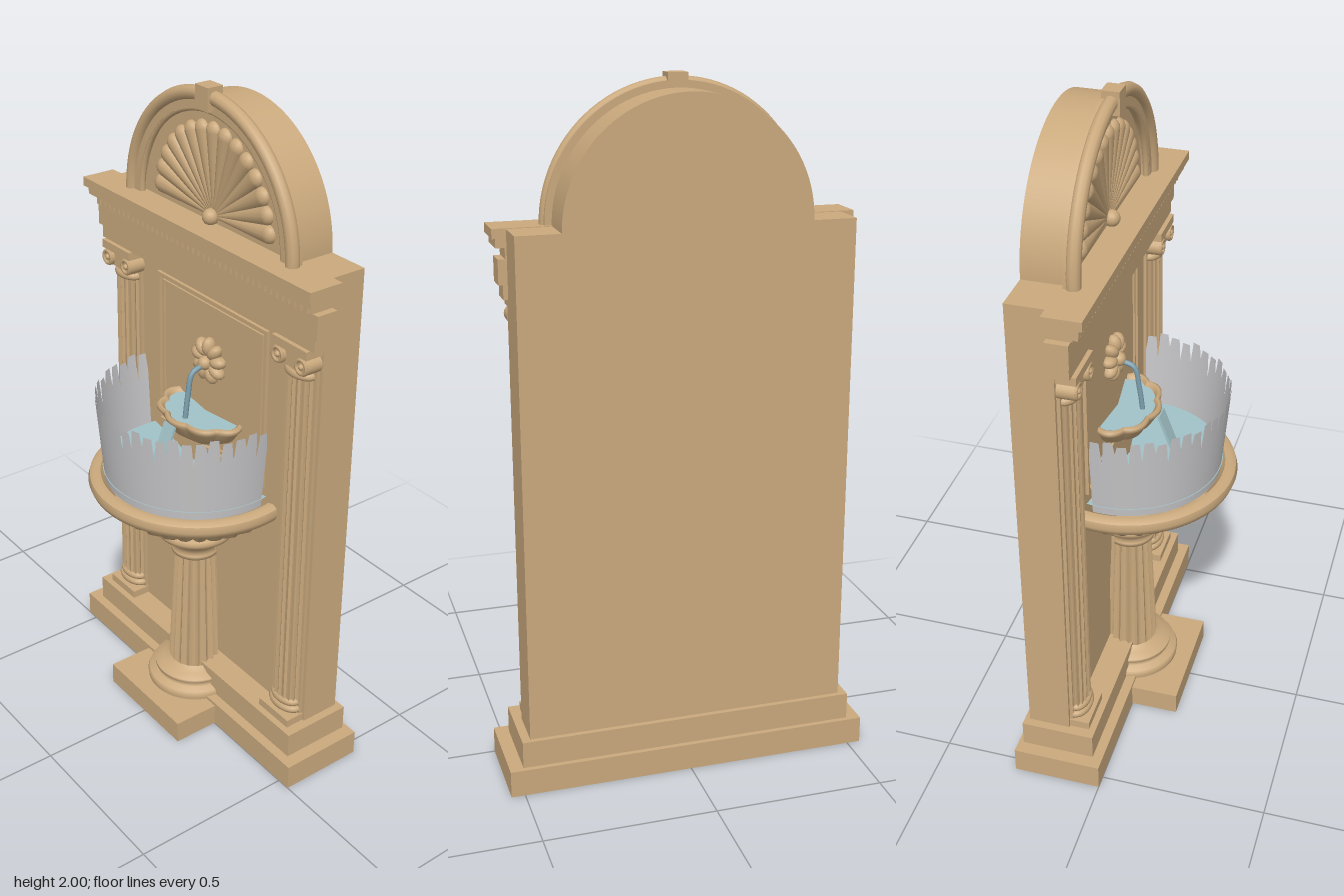
import * as THREE from 'three';
import { toCreasedNormals } from 'three/addons/utils/BufferGeometryUtils.js';

const mat = (name, color, side = THREE.FrontSide) => {
  const m = new THREE.MeshStandardMaterial({ color, side });
  m.name = name;
  return m;
};

export function createModel() {
  const model = new THREE.Group();
  model.name = 'wallFountain';
  const stone = mat('sandstone', 0xcaa97d);
  const stoneOpen = mat('sandstone', 0xcaa97d, THREE.DoubleSide);
  stoneOpen.name = 'sandstoneOpen';
  const grey = mat('paleGrey', 0xc6c6c8, THREE.DoubleSide);
  const water = mat('water', 0xa2c3c8, THREE.DoubleSide);
  const jet = mat('waterJet', 0x7d9fae);
  const CZ = -0.055; // axis of the basin and its pedestal

  const add = (name, geo, m = stone, x = 0, y = 0, z = 0, parent = model) => {
    const mesh = new THREE.Mesh(geo, m);
    mesh.name = name;
    mesh.position.set(x, y, z);
    parent.add(mesh);
    return mesh;
  };
  // box given by its limits
  const block = (name, x0, x1, y0, y1, z0, z1, parent = model) =>
    add(name, new THREE.BoxGeometry(x1 - x0, y1 - y0, z1 - z0), stone,
      (x0 + x1) / 2, (y0 + y1) / 2, (z0 + z1) / 2, parent);
  const pts = (list) => list.map(([x, y]) => new THREE.Vector2(x, y));
  const lathe = (list, seg, half = Math.PI) =>
    new THREE.LatheGeometry(pts(list), seg, -half, half * 2);
  // scale each vertex's radius by rule(angle, y)
  const radial = (geo, rule) => {
    const p = geo.attributes.position;
    for (let i = 0; i < p.count; i++) {
      const k = rule(Math.atan2(p.getX(i), p.getZ(i)), p.getY(i));
      p.setX(i, p.getX(i) * k);
      p.setZ(i, p.getZ(i) * k);
    }
    geo.computeVertexNormals();
    return geo;
  };
  const fluted = (rTop, rBottom, h, n, depth) => toCreasedNormals(radial(
    new THREE.CylinderGeometry(rTop, rBottom, h, n * 6, 1, true),
    (a) => 1 - depth * Math.abs(Math.sin(a * n / 2))), 0.6);
  const halfRing = (outer, inner, depth) => {
    const s = new THREE.Shape();
    s.absarc(0, 0, outer, 0, Math.PI, false);
    if (inner) s.absarc(0, 0, inner, Math.PI, 0, true);
    s.closePath();
    return toCreasedNormals(new THREE.ExtrudeGeometry(s,
      { depth, bevelEnabled: false, curveSegments: 48 }), 0.6);
  };

  // stepped base and wall
  block('baseSlab', -0.54, 0.54, 0, 0.08, -0.265, 0);
  block('baseStep', -0.5, 0.5, 0.08, 0.16, -0.25, -0.03);
  block('wall', -0.475, 0.475, 0.16, 1.61, -0.235, -0.11);

  // arched top
  const TOP = 1.61;
  add('archBody', halfRing(0.35, 0, 0.125), stone, 0, TOP, -0.235);
  add('archBand', halfRing(0.37, 0.318, 0.03), stone, 0, TOP, -0.115);
  add('archMoulding', new THREE.TorusGeometry(0.36, 0.02, 10, 48, Math.PI), stone, 0, TOP, -0.09);
  add('archInnerBead', new THREE.TorusGeometry(0.318, 0.009, 8, 48, Math.PI), stone, 0, TOP, -0.095);
  block('keystone', -0.028, 0.028, 1.935, 2.0, -0.115, -0.065);

  // shell fan
  const fan = new THREE.Group();
  fan.name = 'shellFan';
  fan.position.set(0, 1.63, -0.11);
  model.add(fan);
  const RIBS = 15;
  for (let i = 0; i < RIBS; i++) {
    const rib = new THREE.Group();
    rib.name = 'shellRib';
    rib.rotation.z = ((i + 0.5) / RIBS - 0.5) * Math.PI;
    fan.add(rib);
    const cone = add('ribCone', new THREE.CylinderGeometry(0.027, 0.003, 0.24, 12, 1, true), stone, 0, 0.12, 0, rib);
    const tip = add('ribTip', new THREE.SphereGeometry(0.027, 12, 8), stone, 0, 0.24, 0, rib);
    cone.scale.z = tip.scale.z = 0.75;
  }
  add('shellBoss', new THREE.SphereGeometry(0.024, 14, 10), stone, 0, 0, 0.01, fan);

  // entablature: half width, bottom, top, front
  const courses = [
    [0.488, 1.42, 1.46, -0.065], [0.5, 1.46, 1.53, -0.06], [0.48, 1.53, 1.56, -0.055],
    [0.505, 1.56, 1.585, -0.03], [0.514, 1.585, 1.612, -0.018],
  ];
  courses.forEach(([w, y0, y1, z]) => block('entablatureCourse', -w, w, y0, y1, -0.125, z));
  for (let i = 0; i < 40; i++) {
    const x = -0.47 + i * 0.94 / 39;
    block('dentil', x - 0.008, x + 0.008, 1.534, 1.56, -0.06, -0.041);
  }

  // fluted pilasters with scrolled capitals
  for (const s of [-1, 1]) {
    const p = new THREE.Group();
    p.name = s > 0 ? 'leftPilaster' : 'rightPilaster';
    p.position.x = s * 0.402;
    model.add(p);
    block('pilasterBack', -0.062, 0.062, 0.16, 1.42, -0.12, -0.1, p);
    add('pilasterShaft', fluted(0.05, 0.055, 1.12, 16, 0.16), stone, 0, 0.78, -0.1, p).scale.z = 0.6;
    block('pilasterPlinth', -0.066, 0.066, 0.16, 0.185, -0.11, -0.05, p);
    for (const [y, r] of [[0.2, 0.058], [0.222, 0.052], [1.325, 0.05]]) {
      const ring = add('pilasterRing', new THREE.TorusGeometry(r - 0.006, 0.012, 8, 24), stone, 0, y, -0.1, p);
      ring.rotation.x = Math.PI / 2;
      ring.scale.y = 0.65;
    }
    block('capitalBlock', -0.058, 0.058, 1.345, 1.395, -0.11, -0.065, p);
    block('capitalAbacus', -0.07, 0.07, 1.395, 1.42, -0.11, -0.052, p);
    for (const t of [-1, 1]) {
      const scroll = add('scroll', new THREE.CylinderGeometry(0.026, 0.026, 0.05, 18), stone, t * 0.048, 1.368, -0.082, p);
      scroll.rotation.x = Math.PI / 2;
      add('scrollRim', new THREE.TorusGeometry(0.02, 0.006, 6, 18), stone, t * 0.048, 1.368, -0.056, p);
      add('scrollEye', new THREE.SphereGeometry(0.009, 8, 6), stone, t * 0.048, 1.368, -0.056, p);
    }
  }

  // raised panel frame
  for (const [w, top, bottom, t, z] of [[0.25, 1.38, 0.88, 0.012, -0.1], [0.23, 1.36, 0.9, 0.008, -0.104]]) {
    block('frameTop', -w, w, top - t, top, -0.115, z);
    block('frameBottom', -w, w, bottom, bottom + t, -0.115, z);
    for (const s of [-1, 1]) block('frameSide', s * w - t / 2, s * w + t / 2, bottom, top, -0.115, z);
  }

  // rosette and its jet
  for (let i = 0; i < 9; i++) {
    const a = i / 9 * Math.PI * 2 + Math.PI / 2;
    const petal = add('rosettePetal', new THREE.SphereGeometry(0.026, 12, 8), stone,
      Math.cos(a) * 0.043, 1.19 + Math.sin(a) * 0.043, -0.1);
    petal.rotation.z = a;
    petal.scale.set(1.15, 0.72, 0.9);
  }
  add('rosetteCentre', new THREE.SphereGeometry(0.021, 14, 10), stone, 0, 1.185, -0.085);
  const arc = new THREE.CatmullRomCurve3([[1.18, -0.08], [1.165, -0.04], [1.1, -0.025], [1.025, -0.015]]
    .map(([y, z]) => new THREE.Vector3(0, y, z)));
  add('waterJet', new THREE.TubeGeometry(arc, 16, 0.008, 8), jet);

  // small scalloped upper bowl
  const bowl = radial(lathe([[0.02, 0.94], [0.06, 0.95], [0.1, 0.98], [0.122, 1.015], [0.13, 1.025],
    [0.13, 1.035], [0.122, 1.04], [0.113, 1.033], [0.105, 1.01]], 108, Math.PI / 2 + 0.12),
  (a, y) => 1 - 0.09 * (1 - Math.abs(Math.cos(a * 4.5))) * Math.min(1, (y - 0.93) / 0.07));
  add('upperBowl', bowl, stoneOpen, 0, 0, -0.09).scale.x = 1.28;
  const pool = (name, r, y, z) => {
    const m = add(name, new THREE.CircleGeometry(r, 48, Math.PI - 0.17, Math.PI + 0.34), water, 0, y, z);
    m.rotation.x = -Math.PI / 2;
    return m;
  };
  pool('upperWater', 0.108, 1.027, -0.09).scale.x = 1.28;
  add('fallingSheet', new THREE.BoxGeometry(0.05, 0.175, 0.008), water, 0, 0.94, 0.07).rotation.x = -0.36;

  // main basin with lobed underside
  const basin = radial(lathe([[0.05, 0.65], [0.09, 0.662], [0.15, 0.685], [0.21, 0.715], [0.26, 0.75], [0.285, 0.785],
    [0.3, 0.79], [0.315, 0.8], [0.322, 0.818], [0.317, 0.836], [0.303, 0.845], [0.285, 0.843],
    [0.277, 0.83], [0.25, 0.79]], 224, 1.75),
  (a, y) => (y < 0.787 ? 1 - 0.075 * (1 - Math.abs(Math.cos(a * 16))) : 1));
  add('basin', toCreasedNormals(basin, 0.7), stoneOpen, 0, 0, CZ);
  pool('basinWater', 0.278, 0.862, CZ);

  // jagged ring standing in the basin
  const TEETH = 26, STEP = 6;
  const ring = lathe([[0.273, 0.835], [0.296, 1.105]], TEETH * STEP, 1.68);
  const rp = ring.attributes.position;
  for (let i = 0; i <= TEETH * STEP; i++) {
    const k = Math.floor(i / STEP);
    const drop = i % STEP === 0 ? 0.065 + 0.025 * Math.sin(k * 2.3) : 0.008 * (1 + Math.sin(k * 4.1));
    const f = 1 - drop * 0.29;
    rp.setXYZ(2 * i + 1, rp.getX(2 * i + 1) * f, 1.105 - drop, rp.getZ(2 * i + 1) * f);
  }
  ring.computeVertexNormals();
  add('jaggedRing', ring, grey, 0, 0, CZ);

  // pedestal
  block('pedestalPlinth', -0.18, 0.18, 0, 0.07, -0.03, 0.145);
  add('pedestalFoot', lathe([[0.148, 0.065], [0.148, 0.075], [0.15, 0.085], [0.145, 0.098], [0.122, 0.102], [0.118, 0.112],
    [0.126, 0.118], [0.126, 0.128], [0.1, 0.135], [0.08, 0.15]], 48, 1.95), stoneOpen, 0, 0, CZ);
  add('pedestalShaft', fluted(0.063, 0.083, 0.43, 18, 0.13), stone, 0, 0.35, CZ);
  add('pedestalCapital', lathe([[0.06, 0.55], [0.074, 0.555], [0.074, 0.567], [0.066, 0.573], [0.078, 0.595], [0.108, 0.618],
    [0.118, 0.625], [0.122, 0.637], [0.118, 0.648], [0.09, 0.652], [0.055, 0.66]], 48, 2.0), stoneOpen, 0, 0, CZ);
  return model;
}
